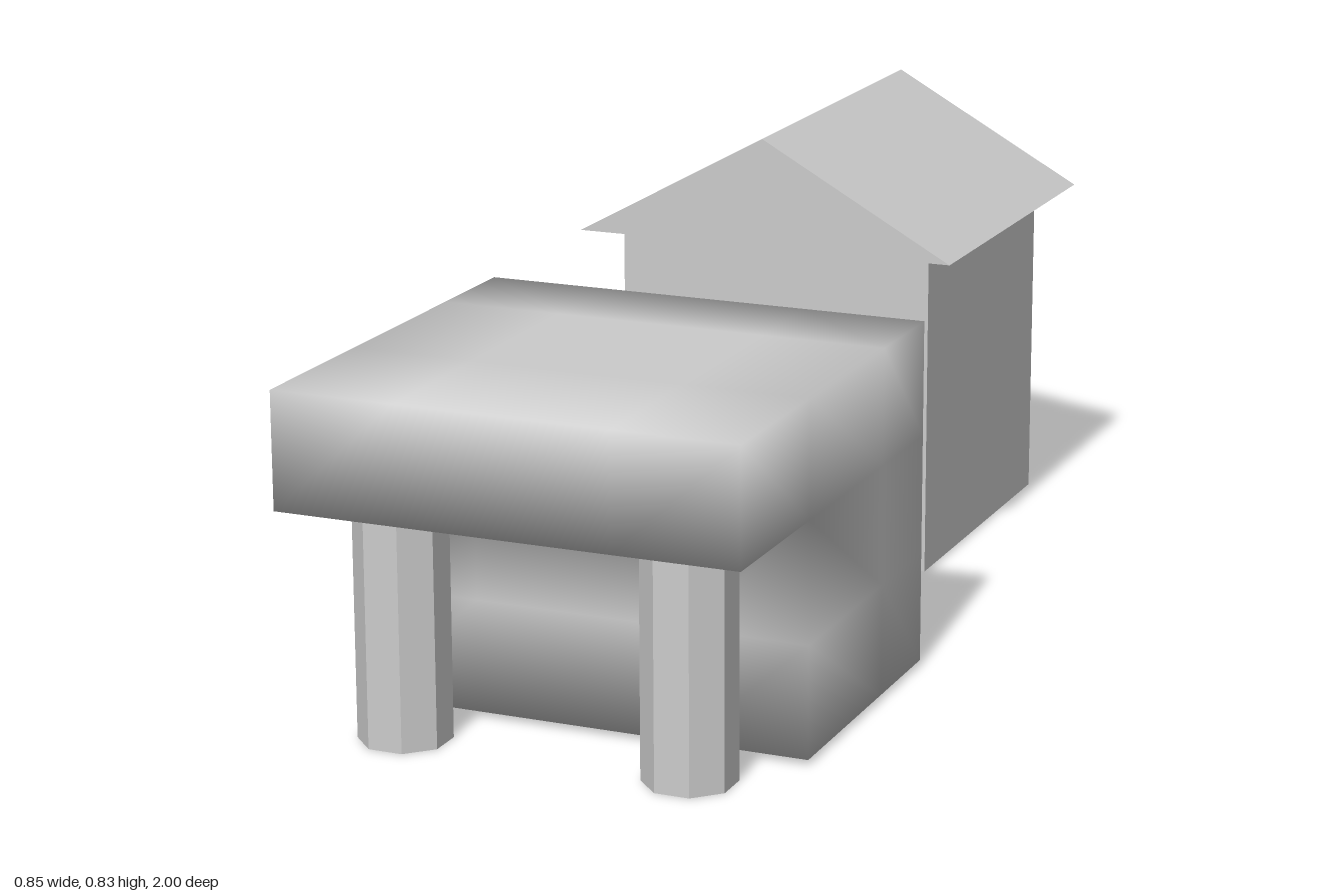
import * as THREE from 'three';

const material = new THREE.MeshStandardMaterial({ color: 0xcccccc });
const flatMaterial = new THREE.MeshStandardMaterial({ color: 0xcccccc, flatShading: true });

// Outer skin of a block of grid cells, with shared corners for soft shading
function cellHull(cuts, solid) {
  const positions = [], index = [], ids = new Map();
  const size = cuts.map((c) => c.length - 1);
  const filled = (c) => c.every((n, a) => n >= 0 && n < size[a]) && solid(...c);
  const corner = (c) => {
    const key = c.join();
    if (!ids.has(key)) {
      ids.set(key, positions.length / 3);
      positions.push(...c.map((n, a) => cuts[a][n]));
    }
    return ids.get(key);
  };
  for (let i = 0; i < size[0]; i++)
    for (let j = 0; j < size[1]; j++)
      for (let k = 0; k < size[2]; k++) {
        const cell = [i, j, k];
        if (!filled(cell)) continue;
        for (let a = 0; a < 3; a++)
          for (const side of [0, 1]) {
            const next = [...cell];
            next[a] += side ? 1 : -1;
            if (filled(next)) continue;
            const quad = [[0, 0], [1, 0], [1, 1], [0, 1]].map(([u, v]) => {
              const c = [...cell];
              c[a] += side;
              c[(a + 1) % 3] += u;
              c[(a + 2) % 3] += v;
              return corner(c);
            });
            if (!side) quad.reverse();
            index.push(quad[0], quad[1], quad[2], quad[0], quad[2], quad[3]);
          }
      }
  const geometry = new THREE.BufferGeometry();
  geometry.setAttribute('position', new THREE.Float32BufferAttribute(positions, 3));
  geometry.setIndex(index);
  geometry.computeVertexNormals();
  return geometry;
}

export function createModel() {
  const model = new THREE.Group();
  const add = (parent, name, geometry, mat, x = 0, y = 0, z = 0) => {
    const mesh = new THREE.Mesh(geometry, mat);
    mesh.name = name;
    mesh.position.set(x, y, z);
    parent.add(mesh);
  };

  // Front building: flat-topped hall whose upper part overhangs a porch
  const hall = new THREE.Group();
  hall.name = 'porchHall';
  model.add(hall);
  const cuts = [
    [-0.402, -0.18, 0.2, 0.425],
    [0.01, 0.21, 0.424, 0.63],
    [0.173, 0.37, 0.71, 1],
  ];
  add(hall, 'hallBody', cellHull(cuts, (i, j, k) => k < 2 || j === 2), material);

  // Octagonal porch posts
  const post = new THREE.CylinderGeometry(0.081, 0.081, 0.424, 8);
  post.rotateY(Math.PI / 8);
  for (const [name, x] of [['rightPost', -0.25], ['leftPost', 0.271]])
    add(hall, name, post, flatMaterial, x, 0.212, 0.846);

  // Rear building: square house under a wide gable roof
  const house = new THREE.Group();
  house.name = 'gableHouse';
  house.position.set(-0.055, 0, -0.628);
  model.add(house);
  add(house, 'houseWalls', new THREE.BoxGeometry(0.62, 0.62, 0.62), flatMaterial, 0, 0.315, 0);
  const gable = new THREE.Shape([
    new THREE.Vector2(-0.373, 0.623),
    new THREE.Vector2(0.373, 0.623),
    new THREE.Vector2(0, 0.83),
  ]);
  const roof = new THREE.ExtrudeGeometry(gable, { depth: 0.744, bevelEnabled: false });
  add(house, 'gableRoof', roof, flatMaterial, 0, 0, -0.372);

  return model;
}
